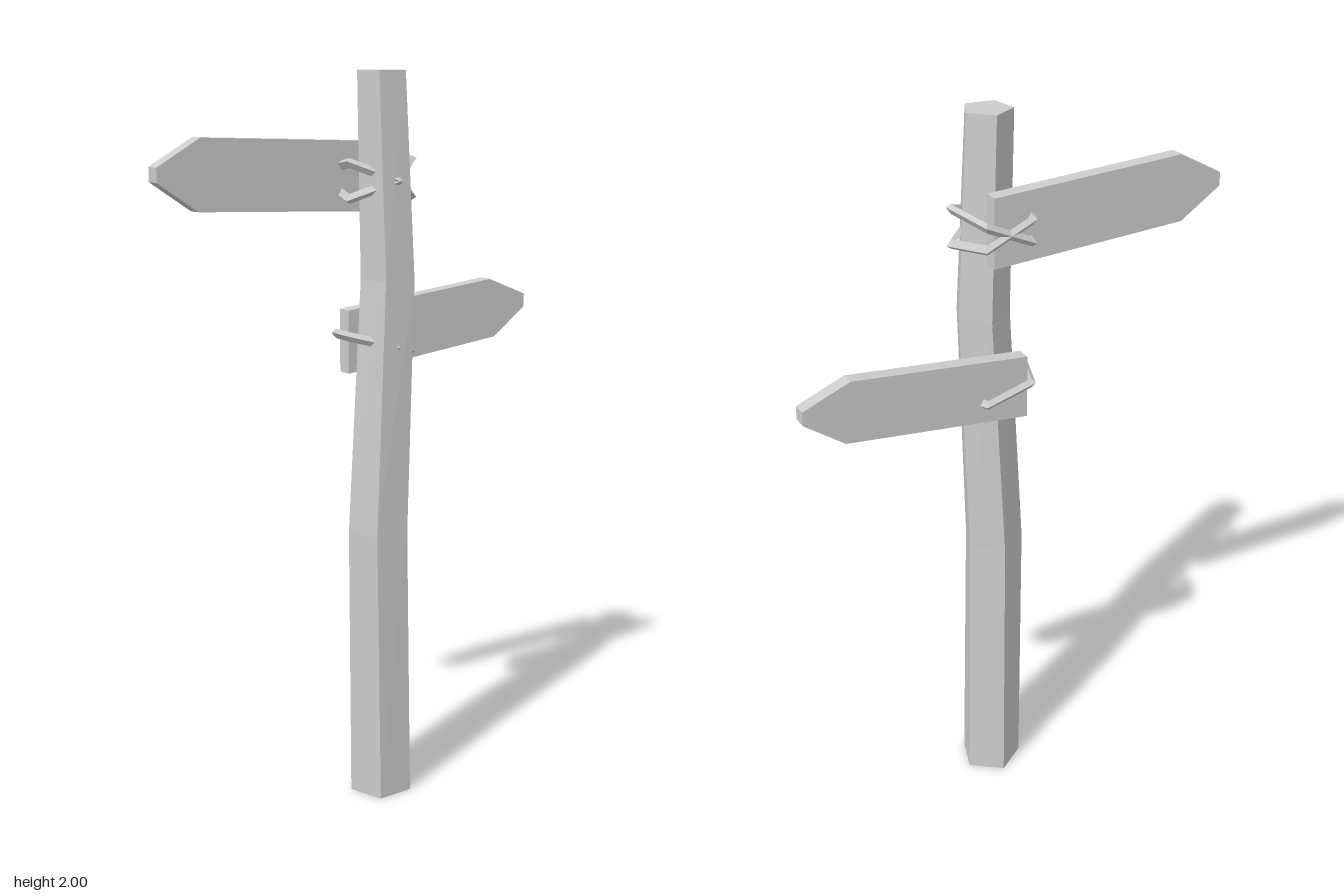
import * as THREE from 'three';

export function createModel() {
  const group = new THREE.Group();
  const grey = new THREE.MeshStandardMaterial({ color: 0xcccccc, flatShading: true });
  grey.name = 'grey';

  const add = (name, geometry) => {
    const mesh = new THREE.Mesh(geometry, grey);
    mesh.name = name;
    group.add(mesh);
    return mesh;
  };

  // Crooked five-sided post: each ring has height, centre x, centre z, radius, twist
  const rings = [
    [0, 0.025, 0.03, 0.088, 0],
    [0.77, 0.014, 0.032, 0.084, 0.04],
    [1.46, 0.04, 0.039, 0.075, 0.09],
    [2, 0.02, 0.037, 0.066, 0.12],
  ];
  const post = new THREE.CylinderGeometry(1, 1, 2, 5, 3);
  const p = post.attributes.position;
  for (let i = 0; i < p.count; i++) {
    const [y, cx, cz, r, twist] = rings[Math.round((p.getY(i) + 1) * 1.5)];
    const x = -p.getX(i), z = -p.getZ(i);
    const c = Math.cos(twist), s = Math.sin(twist);
    p.setXYZ(i, cx + r * (x * c - z * s), y, cz + r * (x * s + z * c));
  }
  post.computeVertexNormals();
  add('post', post);

  // Pointed boards behind the post
  const board = (name, outline) => {
    const shape = new THREE.Shape(outline.map(([x, y]) => new THREE.Vector2(x, y)));
    const geometry = new THREE.ExtrudeGeometry(shape, { depth: 0.04, bevelEnabled: false });
    add(name, geometry.translate(0, 0, -0.085));
  };
  board('upperBoard', [
    [0.065, 1.63], [0.065, 1.815], [-0.475, 1.84], [-0.6, 1.772], [-0.6, 1.735], [-0.485, 1.658],
  ]);
  board('lowerBoard', [
    [-0.03, 1.197], [0.485, 1.247], [0.595, 1.325], [0.595, 1.362], [0.465, 1.415], [-0.03, 1.37],
  ]);

  // Five-sided rope loops, sheared so that they hang at a slant
  const rope = (name, y, slope) => {
    const geometry = new THREE.TorusGeometry(0.107, 0.013, 4, 5);
    geometry.rotateZ(Math.PI / 2).rotateX(Math.PI / 2);
    const q = geometry.attributes.position;
    for (let i = 0; i < q.count; i++) q.setY(i, q.getY(i) + slope * q.getX(i));
    geometry.computeVertexNormals();
    add(name, geometry).position.set(0.03, y, -0.014);
  };
  rope('upperRopeFalling', 1.72, -0.45);
  rope('upperRopeRising', 1.72, 0.45);
  rope('lowerRope', 1.283, -0.28);

  return group;
}
